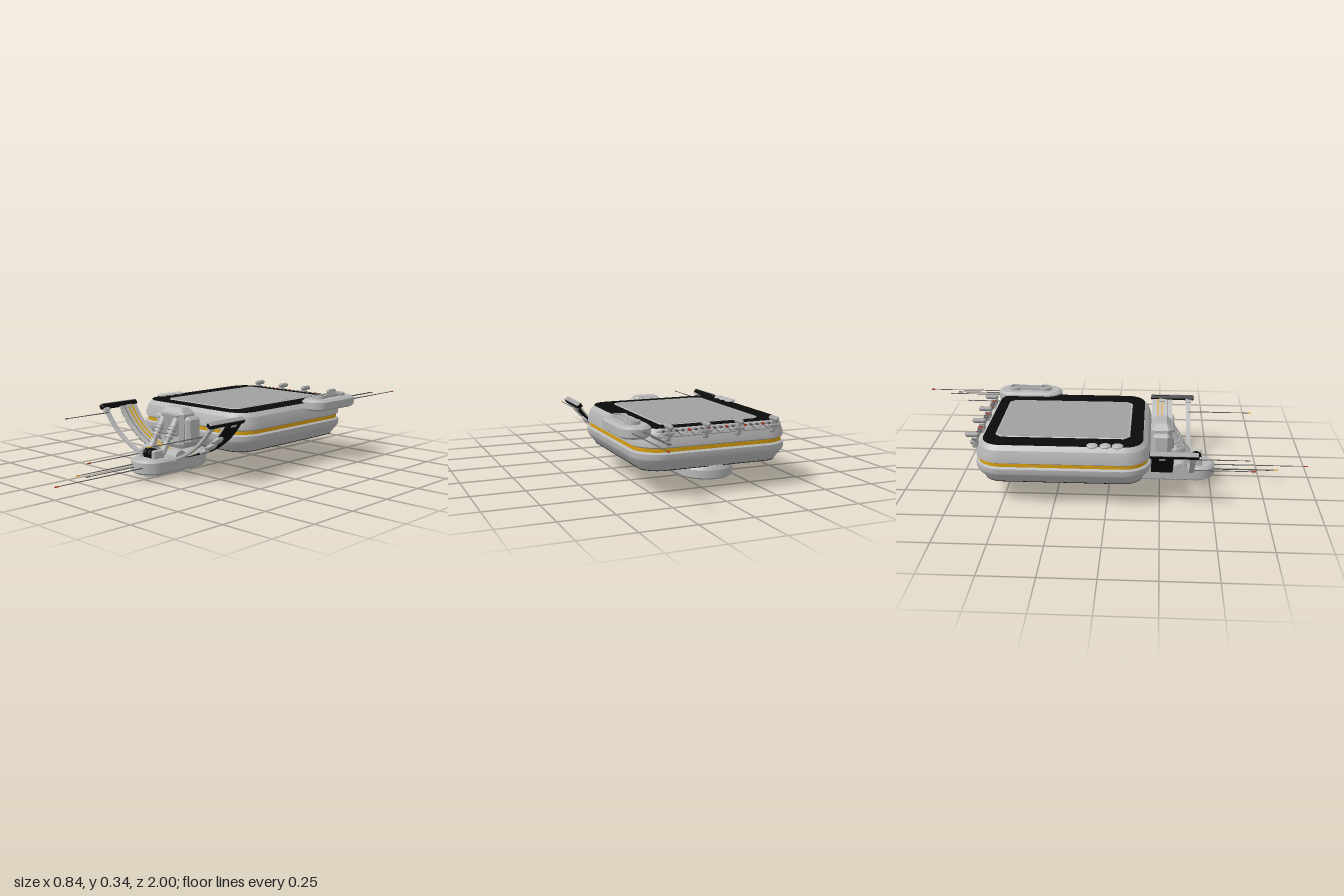
import * as THREE from 'three';
import { toCreasedNormals } from 'three/addons/utils/BufferGeometryUtils.js';

const mat = (name, color) => Object.assign(new THREE.MeshStandardMaterial({ color }), { name });
const grey = mat('hull grey', 0xb6b6b6);
const mid = mat('machine grey', 0xa0a0a0);
const dark = mat('dark grey', 0x606060);
const black = mat('black', 0x0a0a0a);
const yellow = mat('yellow', 0xd9a010);
const red = mat('red', 0xb03018);
const CX = -0.03; // centre line of the hull

// Stack of rounded rectangles; profile rows are [inset, y] from bottom to top
function loft(hw, hd, r, profile, seg = 8) {
  const rows = profile.map(([inset, y]) => {
    const w = hw - inset, d = hd - inset, q = Math.max(r - inset, 0.002), pts = [];
    for (let c = 0; c < 4; c++) {
      const sx = c === 0 || c === 3 ? 1 : -1, sz = c < 2 ? -1 : 1;
      for (let i = 0; i <= seg; i++) {
        const a = (c + i / seg) * Math.PI / 2;
        pts.push([sx * (w - q) + q * Math.cos(a), y, sz * (d - q) - q * Math.sin(a)]);
      }
    }
    return pts;
  });
  const pos = [], n = rows[0].length, last = rows.length - 1;
  const tri = (...p) => p.forEach(v => pos.push(...v));
  for (let i = 0; i < n; i++) {
    const j = (i + 1) % n;
    for (let k = 0; k < last; k++) {
      tri(rows[k][i], rows[k][j], rows[k + 1][j]);
      tri(rows[k][i], rows[k + 1][j], rows[k + 1][i]);
    }
    tri([0, profile[last][1], 0], rows[last][i], rows[last][j]);
    tri([0, profile[0][1], 0], rows[0][j], rows[0][i]);
  }
  const g = new THREE.BufferGeometry();
  g.setAttribute('position', new THREE.Float32BufferAttribute(pos, 3));
  return toCreasedNormals(g, 0.4);
}
const block = (w, h, d, c) => loft(w / 2, d / 2, c, [[c, -h / 2], [0, -h / 2 + c], [0, h / 2 - c], [c, h / 2]], 1);

// Two discs joined by a neck, optionally hollowed out to a rim
function dumbbellShape(r, d, neck) {
  const a = Math.asin(neck / r), s = new THREE.Shape();
  s.absarc(0, d, r, -Math.PI / 2 + a, Math.PI * 1.5 - a, false);
  s.absarc(0, -d, r, Math.PI / 2 + a, Math.PI * 2.5 - a, false);
  s.closePath();
  return s;
}
function dumbbell(r, d, neck, depth, rim) {
  const s = dumbbellShape(r, d, neck);
  if (rim) s.holes.push(dumbbellShape(r - rim, d, neck - rim));
  return new THREE.ExtrudeGeometry(s, { depth, bevelEnabled: false, curveSegments: 20 }).rotateX(-Math.PI / 2);
}

export function createModel() {
  const model = new THREE.Group();
  const add = (name, geo, m, x = 0, y = 0, z = 0, parent = model) => {
    const mesh = new THREE.Mesh(geo, m);
    mesh.name = name;
    mesh.position.set(x, y, z);
    parent.add(mesh);
    return mesh;
  };
  // Round bar between two points
  const rod = (name, a, b, r, m, r2 = r) => {
    const A = new THREE.Vector3(...a), D = new THREE.Vector3(...b).sub(A);
    const mesh = add(name, new THREE.CylinderGeometry(r2, r, D.length(), 12), m);
    mesh.position.copy(A).addScaledVector(D, 0.5);
    mesh.quaternion.setFromUnitVectors(new THREE.Vector3(0, 1, 0), D.normalize());
    return mesh;
  };

  // Main hull with recessed stripe and dark decks
  const HZ = -0.21;
  add('lowerHull', loft(0.375, 0.415, 0.13, [[0.04, 0.12], [0.004, 0.165], [0, 0.175], [0, 0.198], [0.012, 0.205]]), grey, CX, 0, HZ);
  add('hullStripe', loft(0.363, 0.403, 0.118, [[0, 0.205], [0, 0.222]]), yellow, CX, 0, HZ);
  add('upperHull', loft(0.375, 0.415, 0.13, [[0.012, 0.222], [0.002, 0.228], [0.004, 0.25], [0.016, 0.285], [0.035, 0.305]]), grey, CX, 0, HZ);
  add('topDeck', loft(0.338, 0.378, 0.09, [[0, 0.304], [0, 0.308]]), black, CX, 0, HZ);
  add('bottomDeck', loft(0.335, 0.375, 0.09, [[0, 0.117], [0, 0.121]]), black, CX, 0, HZ);
  add('panelRim', loft(0.245, 0.322, 0.03, [[0, 0.307], [0.004, 0.311]], 1), grey, -0.033, 0, -0.215);
  add('deckPanel', loft(0.236, 0.313, 0.026, [[0, 0.31], [0, 0.312]], 1), mid, -0.033, 0, -0.215);

  // Capsule pods
  add('sidePod', loft(0.0725, 0.17, 0.0725, [[0.014, 0.27], [0, 0.28], [0, 0.314], [0.014, 0.325]], 12), grey, 0.343, 0, -0.45);
  add('sidePodRim', dumbbell(0.034, 0.08, 0.022, 0.016, 0.008), grey, 0.343, 0.324, -0.45);
  add('sidePodPlate', dumbbell(0.03, 0.08, 0.018, 0.006), mid, 0.343, 0.324, -0.45);
  add('frontPod', loft(0.091, 0.213, 0.091, [[0.014, 0.022], [0, 0.032], [0, 0.08], [0.014, 0.092]], 12), grey, CX, 0, 0.312);
  add('frontPodRim', dumbbell(0.042, 0.11, 0.026, 0.024, 0.01), grey, CX, 0, 0.312);
  add('frontPodPlate', dumbbell(0.036, 0.11, 0.02, 0.01), mid, CX, 0.014, 0.312);
  add('rearPod', loft(0.125, 0.215, 0.125, [[0.01, 0.057], [0, 0.065], [0, 0.1], [0.01, 0.12]], 12), grey, CX, 0, -0.385);
  for (const s of [-1, 1]) add('keelRail', block(0.04, 0.035, 0.44, 0.006), grey, CX + s * 0.05, 0.103, -0.08);
  rod('keelHub', [CX - 0.04, 0.098, -0.13], [CX + 0.04, 0.098, -0.13], 0.022, mid);

  // Curved front bands hanging between two end bars
  const R = 0.45, CY = 0.53, HALF = Math.asin(0.375 / R);
  const arc = (name, r, t, z0, z1, m) => {
    const a = -Math.PI / 2 - HALF, b = -Math.PI / 2 + HALF, s = new THREE.Shape();
    s.absarc(0, 0, r + t, a, b, false);
    s.absarc(0, 0, r, b, a, true);
    const g = new THREE.ExtrudeGeometry(s, { depth: z1 - z0, bevelEnabled: false, curveSegments: 40 });
    add(name, toCreasedNormals(g, 0.4), m, CX, CY, z0);
  };
  arc('wideBand', R - 0.005, 0.008, 0.205, 0.312, grey);
  arc('wideBandUnderside', R + 0.003, 0.004, 0.208, 0.309, black);
  arc('frontBand', R - 0.005, 0.011, 0.386, 0.41, grey);
  for (const z of [0.232, 0.256]) arc('bandStripe', R - 0.007, 0.003, z, z + 0.008, yellow);
  arc('bandGroove', R - 0.0065, 0.003, 0.284, 0.287, dark);
  for (const s of [-1, 1]) {
    const end = new THREE.Group();
    end.name = 'bandEnd';
    end.position.set(CX + s * 0.375, CY - R * Math.cos(HALF), 0.312);
    end.rotation.z = s * HALF;
    add('endBar', block(0.022, 0.026, 0.226, 0.003), black, s * 0.008, 0, 0, end);
    add('endBarEdge', block(0.004, 0.024, 0.222, 0.001), mid, s * 0.02, 0, 0, end);
    for (const z of [-0.055, 0.086]) add('endFerrule', new THREE.BoxGeometry(0.016, 0.022, 0.03), grey, s * -0.01, 0, z, end);
    model.add(end);
  }

  // Domes on the deck and under the band
  for (const z of [-0.065, -0.005, 0.052]) {
    add('deckDome', new THREE.SphereGeometry(0.027, 20, 12).scale(1, 0.35, 1), grey, -0.367, 0.311, z);
  }
  for (const off of [0.225, 0.27, 0.31]) {
    const a = Math.asin(off / R);
    const g = new THREE.SphereGeometry(0.027, 20, 12).scale(1, 0.42, 1);
    add('bandDome', g, grey, CX + (R + 0.01) * Math.sin(a), CY - (R + 0.01) * Math.cos(a), 0.298).rotation.z = a;
  }

  // Front bracket
  add('bracketBody', loft(0.08, 0.052, 0.018, [[0.012, 0.12], [0, 0.14], [0, 0.285], [0.026, 0.314]], 1), grey, CX, 0, 0.255);
  add('bracketFace', block(0.12, 0.11, 0.02, 0.008), mid, CX, 0.235, 0.308);
  for (const s of [-1, 1]) {
    add('bracketCheek', block(0.04, 0.135, 0.085, 0.014), grey, CX + s * 0.1, 0.21, 0.255);
    rod('hingeDrum', [CX + s * 0.06, 0.095, 0.35], [CX + s * 0.122, 0.095, 0.35], 0.035, grey);
    // Piston leg with collars
    const x = CX + s * 0.045;
    const at = t => [x, 0.27 - 0.16 * t, 0.3 + 0.1 * t];
    rod('piston', at(0), at(1), 0.012, mid);
    rod('pistonSleeve', at(0), at(0.28), 0.017, grey);
    for (const t of [0.3, 0.4, 0.5]) rod('pistonCollar', at(t), at(t + 0.06), 0.02, grey);
    rod('pistonFoot', at(0.68), at(1), 0.016, grey);
    add('clevis', block(0.022, 0.05, 0.07, 0.006), grey, x, 0.108, 0.425);
    rod('blackWheel', [CX + s * 0.006, 0.11, 0.432], [CX + s * 0.023, 0.11, 0.432], 0.027, black);
  }
  rod('wheelAxle', [CX - 0.05, 0.11, 0.432], [CX + 0.05, 0.11, 0.432], 0.008, mid);

  // Rear rack
  for (const x of [-0.29, -0.115, 0.045, 0.22]) {
    add('rackPost', block(0.024, 0.055, 0.03, 0.005), mid, x, 0.285, -0.625);
    add('rackHook', new THREE.CapsuleGeometry(0.012, 0.045, 4, 12).rotateX(Math.PI / 2), mid, x, 0.322, -0.638);
    add('rackArm', block(0.05, 0.014, 0.02, 0.003), mid, x, 0.29, -0.635);
  }
  for (const y of [0.275, 0.3]) rod('rackRail', [-0.33, y, -0.625], [0.27, y, -0.625], 0.003, mid);
  for (let i = 0; i < 20; i++) {
    const x = -0.33 + i * 0.03, up = i % 2;
    rod('rackBrace', [x, up ? 0.3 : 0.275, -0.625], [x + 0.03, up ? 0.275 : 0.3, -0.625], 0.003, mid);
    if (i > 0) add('rackLamp', new THREE.BoxGeometry(0.009, 0.009, 0.018), i % 3 ? dark : red, x, 0.3, -0.626);
  }

  // Antennas: x, y, start z, end z, tip material
  const antennas = [
    [0.282, 0.275, -0.5, -0.78, dark], [0.317, 0.3, -0.6, -0.88, dark], [0.33, 0.305, -0.6, -0.84, dark],
    [0.375, 0.3, -0.6, -1, red], [-0.383, 0.26, 0.4, 0.66, dark], [0.293, 0.23, 0.4, 0.73, yellow],
    [-0.138, 0.09, 0.4, 0.72, red], [-0.062, 0.066, 0.5, 0.84, yellow], [-0.045, 0.056, 0.5, 0.8, dark],
    [0.007, 0.058, 0.5, 1, red],
  ];
  for (const [x, y, z0, z1, tip] of antennas) {
    const d = Math.sign(z1);
    rod('antenna', [x, y, z0], [x, y, z1 - d * 0.02], 0.003, dark, 0.0018);
    rod('antennaTip', [x, y, z1 - d * 0.02], [x, y, z1], 0.003, tip);
  }
  return model;
}
